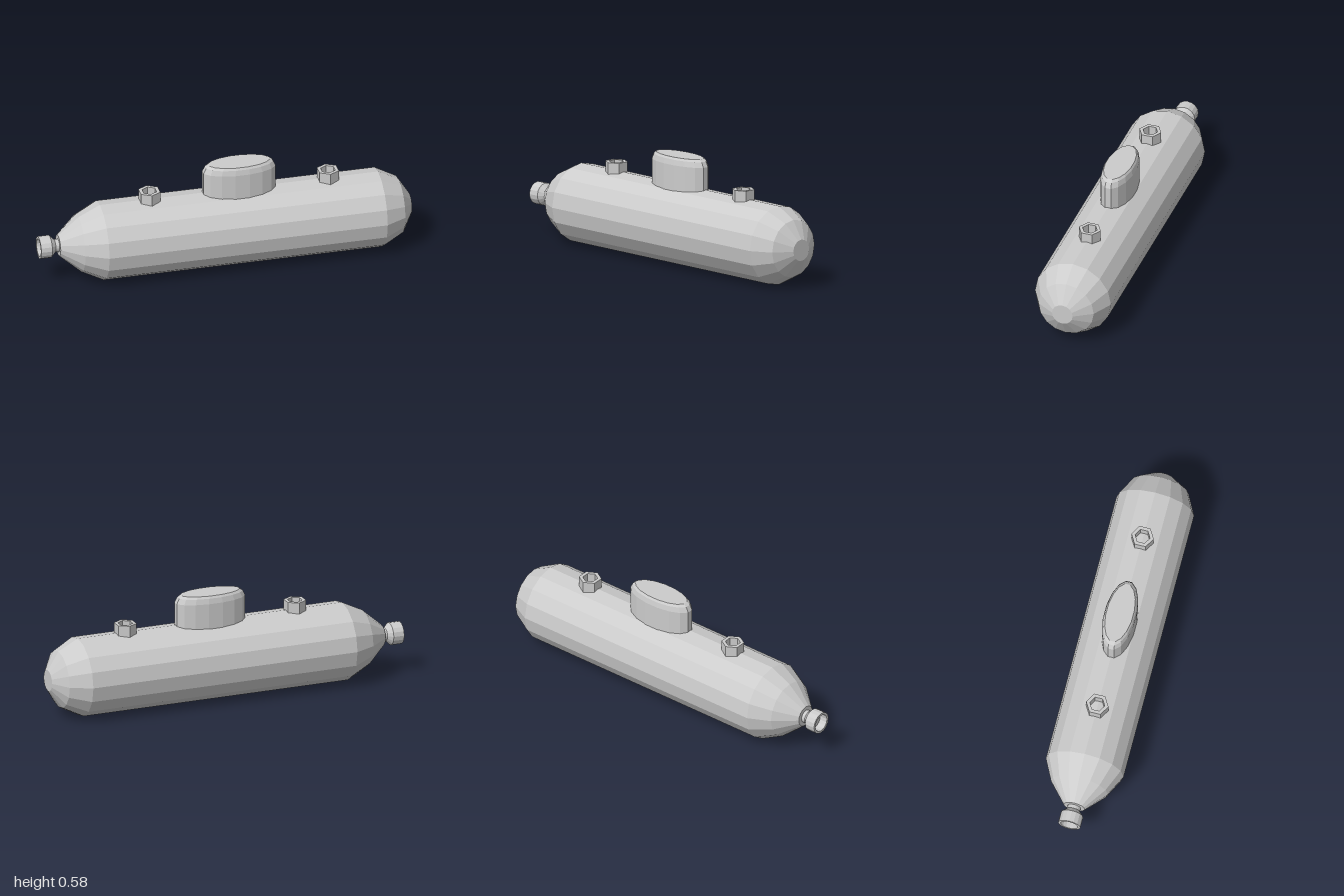
import * as THREE from 'three';

const material = new THREE.MeshStandardMaterial({ color: 0xcccccc, flatShading: true });

// Turned part from [radius, height] pairs
function turned(name, profile, sides, phase = 0) {
  const points = profile.map(([r, h]) => new THREE.Vector2(r, h));
  const mesh = new THREE.Mesh(new THREE.LatheGeometry(points, sides, phase), material);
  mesh.name = name;
  return mesh;
}

export function createModel() {
  const model = new THREE.Group();
  model.name = 'submarine';
  const axisY = 0.21;

  // Hull: tapered tail at -x, blunt nose at +x
  const hull = turned('hull', [
    [0, -0.895], [0.057, -0.895], [0.153, -0.785], [0.21, -0.67],
    [0.21, 0.83], [0.153, 0.94], [0.057, 1], [0, 1],
  ], 16);

  // Hollow tail nozzle on a thin neck
  const nozzle = turned('tailNozzle', [
    [0, -0.955], [0.047, -0.955], [0.047, -1], [0.06, -1],
    [0.06, -0.94], [0.035, -0.915], [0.035, -0.88],
  ], 16);

  for (const part of [hull, nozzle]) {
    part.geometry.rotateZ(-Math.PI / 2);
    part.position.y = axisY;
    model.add(part);
  }

  // Oval tower with a rounded top edge
  const tower = turned('conningTower', [
    [1, 0.36], [1, 0.54], [0.93, 0.568], [0.84, 0.58], [0, 0.58],
  ], 16, Math.PI / 16);
  tower.geometry.scale(0.198, 1, 0.0846);
  tower.geometry.translate(0.08, 0, 0);
  model.add(tower);

  // Open hexagonal deck hatches
  for (const [name, x] of [['rearHatch', -0.403], ['frontHatch', 0.56]]) {
    const hatch = turned(name, [
      [0.06, 0.39], [0.06, 0.47], [0.04, 0.47], [0.04, 0.39],
    ], 6);
    hatch.position.x = x;
    model.add(hatch);
  }

  return model;
}
